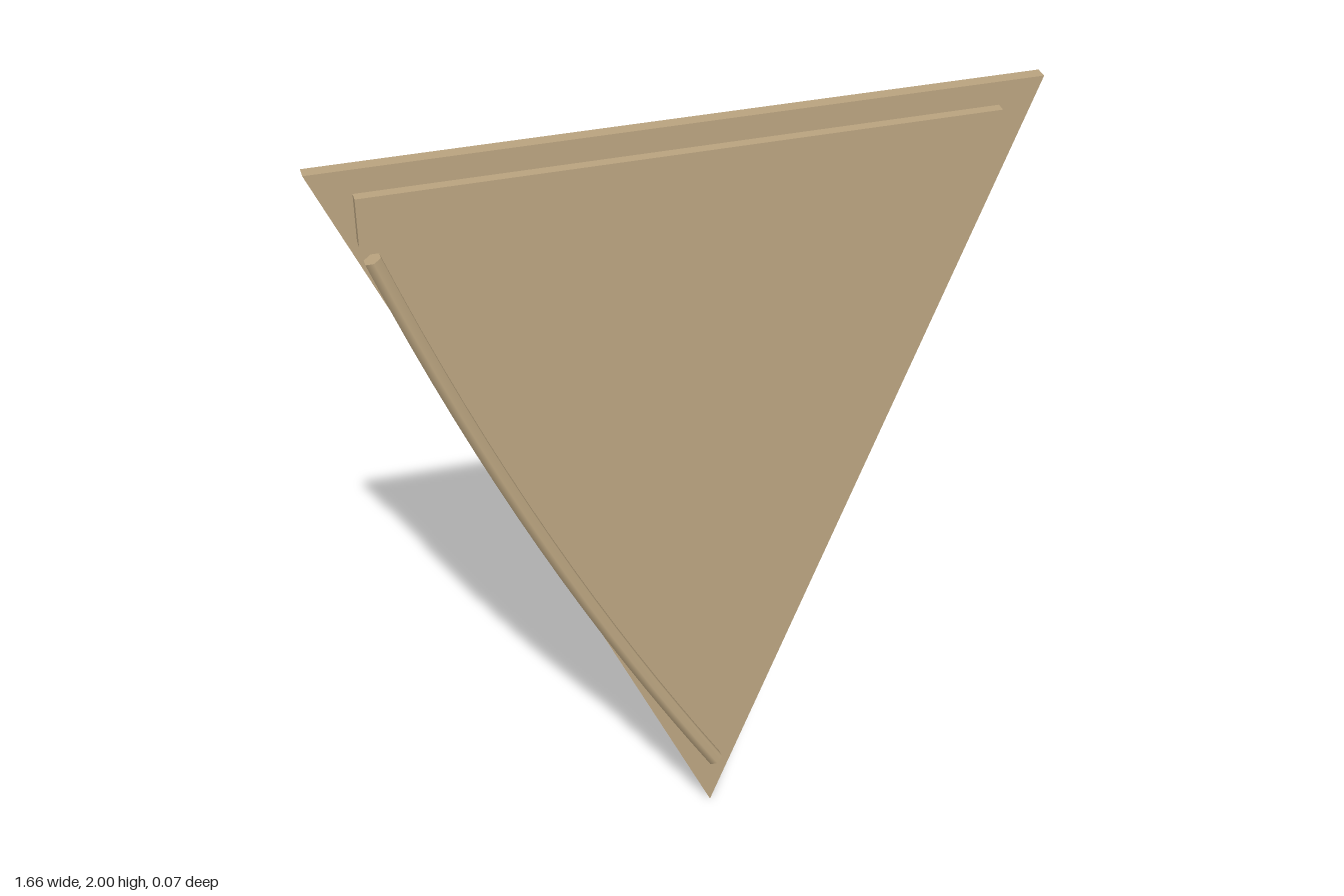
import * as THREE from 'three';

export function createModel() {
  const group = new THREE.Group();
  const tan = new THREE.MeshStandardMaterial({ color: 0xb8a27e });
  tan.name = 'tan';

  const add = (geometry, name, x = 0, y = 0, z = 0) => {
    const mesh = new THREE.Mesh(geometry, tan);
    mesh.name = name;
    mesh.position.set(x, y, z);
    group.add(mesh);
    return mesh;
  };

  // Flat triangular panel, its tip slightly off centre
  const outline = new THREE.Shape([
    new THREE.Vector2(0.063, 0),
    new THREE.Vector2(0.83, 2),
    new THREE.Vector2(-0.83, 2),
  ]);
  add(new THREE.ExtrudeGeometry(outline, { depth: 0.032, bevelEnabled: false }), 'panel', 0, 0, -0.037);

  // Straight batten along the top edge
  add(new THREE.BoxGeometry(1.456, 0.114, 0.025), 'topBatten', -0.002, 1.886, 0.0075);

  // Bowed six-sided rod along the slanting edge
  const radius = 0.021, z = 0.016;
  const path = new THREE.QuadraticBezierCurve3(
    new THREE.Vector3(-0.704, 1.793, z),
    new THREE.Vector3(-0.4, 0.95, z),
    new THREE.Vector3(0.07, 0.163, z),
  );
  add(new THREE.TubeGeometry(path, 16, radius, 6, false), 'edgeRod');

  // Caps closing both rod ends
  for (const t of [0, 1]) {
    const outward = path.getTangent(t).multiplyScalar(t ? 1 : -1);
    const cap = add(new THREE.CircleGeometry(radius, 6, Math.PI / 2), 'rodCap');
    cap.position.copy(path.getPoint(t));
    const up = new THREE.Vector3(0, 0, 1);
    const side = new THREE.Vector3().crossVectors(up, outward);
    cap.quaternion.setFromRotationMatrix(new THREE.Matrix4().makeBasis(side, up, outward));
  }

  return group;
}
